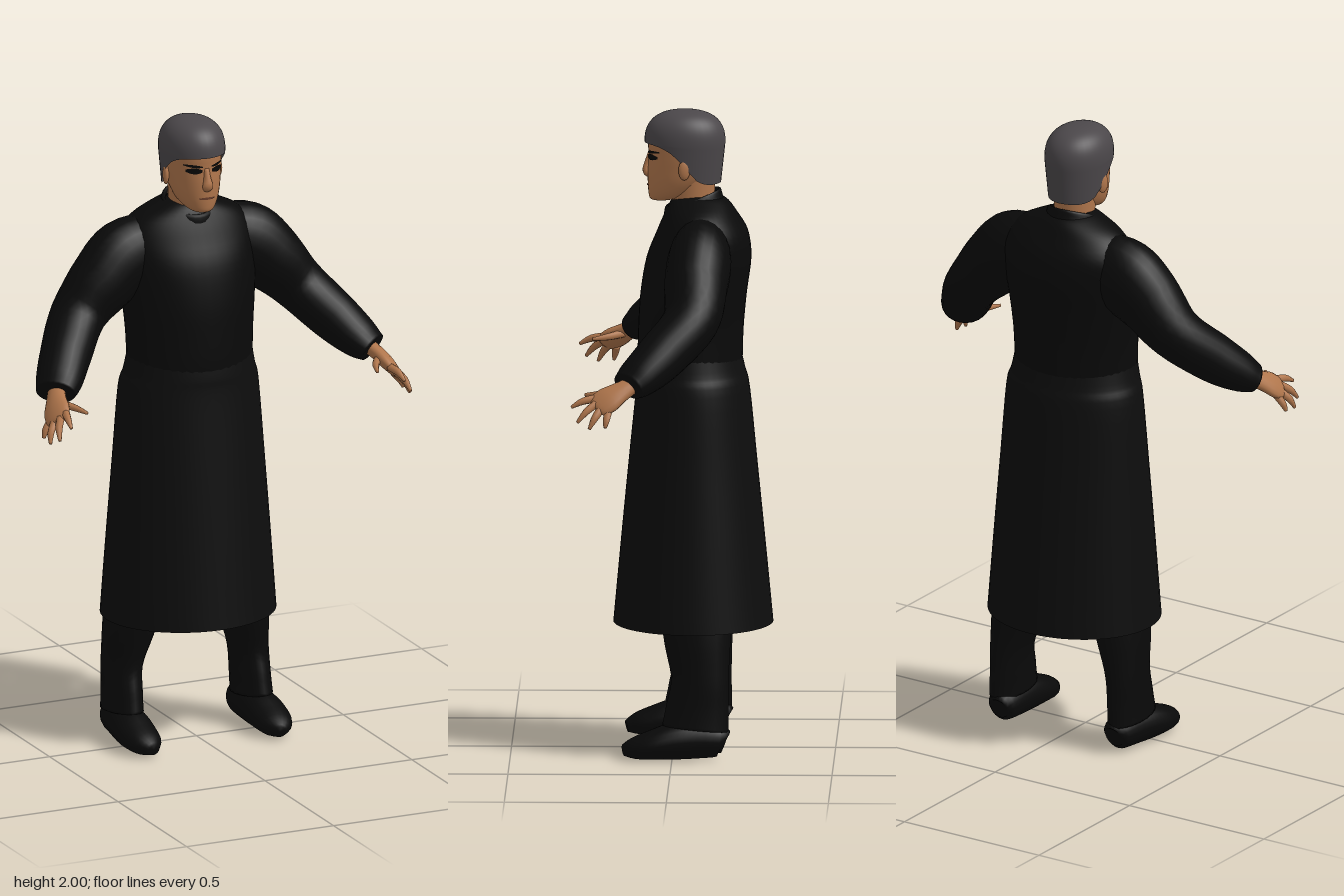
import * as THREE from 'three';
import { mergeVertices } from 'three/addons/utils/BufferGeometryUtils.js';

const V = (x, y, z) => new THREE.Vector3(x, y, z);
const mat = (name, color, side = THREE.FrontSide) => {
  const m = new THREE.MeshStandardMaterial({ color, side });
  m.name = name;
  return m;
};

// Smooth surface from a rule point(u, v), both 0..1
function surface(point, nu, nv) {
  const pos = [], idx = [];
  for (let j = 0; j <= nv; j++) for (let i = 0; i <= nu; i++) pos.push(...point(i / nu, j / nv).toArray());
  for (let j = 0; j < nv; j++) for (let i = 0; i < nu; i++) {
    const a = j * (nu + 1) + i, d = a + nu + 1;
    idx.push(a, a + 1, d, a + 1, d + 1, d);
  }
  let g = new THREE.BufferGeometry();
  g.setAttribute('position', new THREE.Float32BufferAttribute(pos, 3));
  g.setIndex(idx);
  g = mergeVertices(g, 1e-5);
  g.computeVertexNormals();
  return g;
}

// Smooth interpolation through the rows of a table
function at(rows, t) {
  const n = rows.length - 1, f = Math.min(Math.max(t, 0), 1) * n, i = Math.min(Math.floor(f), n - 1), k = f - i;
  const r = (q) => rows[Math.min(Math.max(q, 0), n)];
  return rows[0].map((_, c) => {
    const a = r(i - 1)[c], b = r(i)[c], d = r(i + 1)[c], e = r(i + 2)[c];
    return b + 0.5 * k * (d - a + k * (2 * a - 5 * b + 4 * d - e + k * (3 * (b - d) + e - a)));
  });
}

// Capped limb along rows of [x, y, z, radius across, radius up]
function limb(rows, nu, nv, ref = V(0, 1, 0)) {
  return surface((u, v) => {
    const j = Math.round(v * (nv + 2)), t = Math.min(Math.max((j - 1) / nv, 0), 1);
    const [x, y, z, rh, rv] = at(rows, t);
    const p0 = at(rows, t - 0.01), p1 = at(rows, t + 0.01);
    const T = V(p1[0] - p0[0], p1[1] - p0[1], p1[2] - p0[2]).normalize();
    const side = ref.clone().cross(T).normalize(), up = T.clone().cross(side);
    const k = j === 0 || j === nv + 2 ? 0 : 1, a = (u % 1) * Math.PI * 2;
    return V(x, y, z).addScaledVector(side, k * rh * Math.cos(a)).addScaledVector(up, k * rv * Math.sin(a));
  }, nu, nv + 2);
}

// Upright form through rows of [y, half width, front z, back z]
function ringPoint(rows, u, t) {
  const [y, rx, zf, zb] = at(rows, t), a = (u % 1) * Math.PI * 2;
  return V(rx * Math.sin(a), y, (zf + zb) / 2 + (zf - zb) / 2 * Math.cos(a));
}
const upright = (rows, nu, nv) => surface((u, v) => ringPoint(rows, u, v), nu, nv);

function mirrored(geo) {
  const g = geo.clone().scale(-1, 1, 1), ix = g.index.array;
  for (let i = 0; i < ix.length; i += 3) [ix[i], ix[i + 1]] = [ix[i + 1], ix[i]];
  g.computeVertexNormals();
  return g;
}

const HEAD = [
  [1.716, 0.004, 0.05, 0.035], [1.722, 0.034, 0.072, -0.005], [1.745, 0.058, 0.078, -0.07], [1.78, 0.073, 0.08, -0.11],
  [1.82, 0.081, 0.08, -0.135], [1.86, 0.086, 0.077, -0.142], [1.91, 0.086, 0.078, -0.14],
  [1.955, 0.072, 0.055, -0.12], [1.985, 0.004, -0.02, -0.03]];

// Front surface of the face at x, y, lifted slightly
function facePoint(x, y) {
  let lo = 0, hi = 1;
  for (let i = 0; i < 24; i++) {
    const m = (lo + hi) / 2;
    if (at(HEAD, m)[0] < y) lo = m; else hi = m;
  }
  const [, rx, zf, zb] = at(HEAD, lo);
  return V(x, y, (zf + zb) / 2 + (zf - zb) / 2 * Math.sqrt(Math.max(0, 1 - (x / rx) ** 2)) + 0.003);
}

// Lower edge of the hair from brow (0) to nape (1)
const HAIRLINE = [[1.9], [1.895], [1.875], [1.835], [1.79], [1.775], [1.775]];

// Rounded hair cap: dome first, then sides dropping to the hairline
function hairPoint(u, v) {
  const a = -(u % 1) * Math.PI * 2, c = Math.cos(a), mid = 1.9, split = 0.65;
  let y, r;
  if (v < split) {
    const e = Math.PI / 2 * (1 - v / split);
    y = mid + 0.1 * Math.sin(e) ** 0.8;
    r = Math.max(0, Math.cos(e)) ** 0.8;
  } else {
    const drop = Math.max(0, mid - at(HAIRLINE, (1 - c) / 2)[0]) * (v - split) / (1 - split);
    y = mid - drop;
    r = 1 - 0.87 * drop;
  }
  return V(0.099 * r * Math.sin(a), y, -0.035 + 0.125 * r * c);
}

export function createModel() {
  const model = new THREE.Group();
  model.name = 'standingManInLongCoat';
  const coat = mat('coatBlack', 0x090909);
  const skirtCloth = mat('skirtBlack', 0x0d0d0d, THREE.DoubleSide);
  const skin = mat('skin', 0xb0764c);
  const hairGrey = mat('hairGrey', 0x4b474a, THREE.DoubleSide);
  const dark = mat('eyeBlack', 0x080706);
  const lip = mat('lipBrown', 0x6b3f2c);

  const add = (name, geo, material) => {
    const m = new THREE.Mesh(geo, material);
    m.name = name;
    model.add(m);
  };
  const pair = (name, geo, material) => {
    add('left' + name, geo, material);
    add('right' + name, mirrored(geo), material);
  };

  // Coat body and collar
  add('torso', upright([
    [1.13, 0.19, 0.095, -0.2], [1.21, 0.2, 0.11, -0.212], [1.32, 0.205, 0.109, -0.216], [1.43, 0.215, 0.102, -0.226],
    [1.54, 0.225, 0.083, -0.24], [1.62, 0.222, 0.052, -0.23], [1.68, 0.18, 0.026, -0.195],
    [1.72, 0.1, 0.005, -0.165], [1.735, 0.06, -0.02, -0.13]], 40, 32), coat);
  add('collar', surface((u, v) => {
    const p = ringPoint([[1.66, 0.1, 0.03, -0.165], [1.7, 0.088, 0.03, -0.152], [1.725, 0.08, 0.026, -0.145],
      [1.722, 0.07, 0.016, -0.135], [1.68, 0.066, 0.01, -0.13]], u, v);
    p.y -= (p.z + 0.06) * 0.35;
    return p;
  }, 32, 12), coat);

  // Long skirt of the coat, open below
  add('coatSkirt', upright([
    [0.4, 0.278, 0.186, -0.308], [0.65, 0.261, 0.163, -0.284], [0.9, 0.243, 0.139, -0.259],
    [1.13, 0.226, 0.116, -0.236], [1.19, 0.211, 0.113, -0.222], [1.25, 0.2, 0.106, -0.208]], 48, 20), skirtCloth);

  // Sleeves
  pair('Sleeve', limb([
    [0.1, 1.585, -0.09, 0.08, 0.1], [0.2, 1.56, -0.085, 0.098, 0.122], [0.285, 1.495, -0.075, 0.098, 0.108],
    [0.375, 1.4, -0.06, 0.088, 0.085], [0.46, 1.305, 0.03, 0.08, 0.077], [0.512, 1.25, 0.095, 0.073, 0.062],
    [0.54, 1.226, 0.128, 0.062, 0.045]], 24, 30), coat);

  // Hands: palm, then fingers and thumb
  pair('Palm', limb([
    [0.53, 1.23, 0.115, 0.028, 0.024], [0.55, 1.209, 0.155, 0.036, 0.022], [0.564, 1.188, 0.19, 0.046, 0.021],
    [0.573, 1.17, 0.22, 0.042, 0.015], [0.576, 1.164, 0.229, 0.025, 0.009]], 16, 12, V(0.75, 0.62, 0.2)), skin);
  const fingers = [
    ['IndexFinger', [0.552, 1.19, 0.23], [0.562, 1.183, 0.268], [0.567, 1.165, 0.303]],
    ['MiddleFinger', [0.568, 1.177, 0.226], [0.588, 1.153, 0.258], [0.597, 1.122, 0.284]],
    ['RingFinger', [0.58, 1.163, 0.211], [0.603, 1.135, 0.231], [0.612, 1.104, 0.247]],
    ['LittleFinger', [0.584, 1.158, 0.188], [0.604, 1.131, 0.194], [0.612, 1.108, 0.198]],
    ['Thumb', [0.54, 1.203, 0.168], [0.512, 1.197, 0.212], [0.494, 1.192, 0.262]]];
  for (const [name, a, b, c] of fingers)
    pair(name, limb([[...a, 0.013, 0.013], [...b, 0.011, 0.011], [...c, 0.005, 0.005]], 8, 8), skin);

  // Trousers and shoes
  pair('TrouserLeg', limb([
    [0.1, 1.05, -0.06, 0.095, 0.11], [0.13, 0.75, -0.06, 0.1, 0.12], [0.185, 0.42, -0.075, 0.083, 0.107],
    [0.213, 0.26, -0.086, 0.06, 0.089], [0.218, 0.16, -0.078, 0.056, 0.097], [0.22, 0.1, -0.072, 0.057, 0.103]],
    20, 24, V(0, 0, 1)), coat);
  pair('Shoe', limb([
    [0.213, 0.055, -0.162, 0.03, 0.035], [0.214, 0.062, -0.14, 0.048, 0.052], [0.218, 0.065, -0.06, 0.058, 0.06],
    [0.222, 0.06, 0, 0.063, 0.057], [0.224, 0.049, 0.06, 0.063, 0.046], [0.22, 0.038, 0.115, 0.05, 0.034],
    [0.214, 0.03, 0.15, 0.02, 0.018]], 20, 20), coat);

  // Head, neck and hair
  add('head', upright(HEAD, 32, 28), skin);
  add('neck', upright([[1.64, 0.066, 0.005, -0.13], [1.7, 0.062, 0.005, -0.125], [1.8, 0.064, 0.01, -0.13]], 24, 8), skin);
  add('nose', limb([[0, 1.862, 0.07, 0.009, 0.01], [0, 1.83, 0.079, 0.012, 0.012], [0, 1.808, 0.084, 0.018, 0.012],
    [0, 1.794, 0.076, 0.012, 0.008]], 12, 10, V(0, 0, 1)), skin);
  pair('Ear', new THREE.SphereGeometry(1, 12, 10).scale(0.01, 0.032, 0.019).rotateY(0.3).translate(0.088, 1.825, -0.035), skin);
  add('hair', surface(hairPoint, 36, 26), hairGrey);

  // Face details that follow the face
  const patch = (x0, x1, y, h, slope = 0) => surface((u, v) => {
    const x = x0 + (x1 - x0) * u;
    return facePoint(x, y + slope * (x - x0) + h * (v - 0.5) * (0.4 + 0.6 * Math.sin(Math.PI * u)));
  }, 10, 4);
  pair('Eye', patch(0.016, 0.06, 1.857, 0.019), dark);
  pair('Eyebrow', patch(0.014, 0.066, 1.87, 0.009, 0.1), dark);
  add('mouth', patch(-0.027, 0.027, 1.768, 0.008), lip);

  return model;
}
